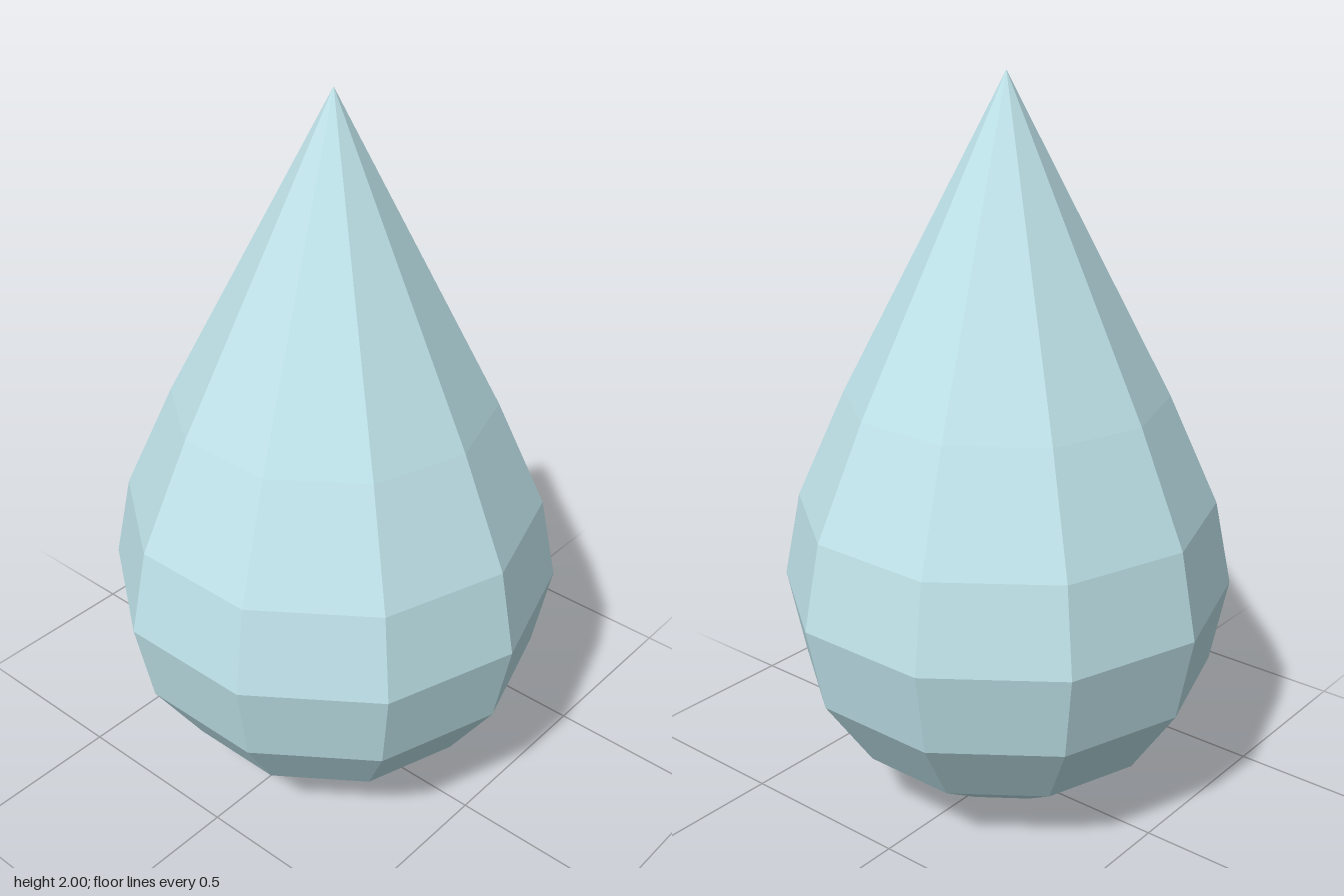
import * as THREE from 'three';

export function createModel() {
  const group = new THREE.Group();
  group.name = 'waterDrop';

  const radius = 0.617;
  const sides = 10;
  const profile = [];

  // Rounded belly: rings of a sphere, from the bottom pole to just above the equator
  for (let i = 0; i <= 5; i++) {
    const a = (i * Math.PI) / 8;
    profile.push(new THREE.Vector2(radius * Math.sin(a), 0.622 - 0.617 * Math.cos(a)));
  }
  profile[0].set(0, 0);

  // Shoulder ring, then straight up to the pointed tip
  profile.push(new THREE.Vector2(0.435, 1.16));
  profile.push(new THREE.Vector2(0, 2));

  const drop = new THREE.Mesh(
    new THREE.LatheGeometry(profile, sides),
    new THREE.MeshStandardMaterial({ color: 0xbfe3ea, flatShading: true })
  );
  drop.name = 'drop';
  group.add(drop);
  return group;
}
